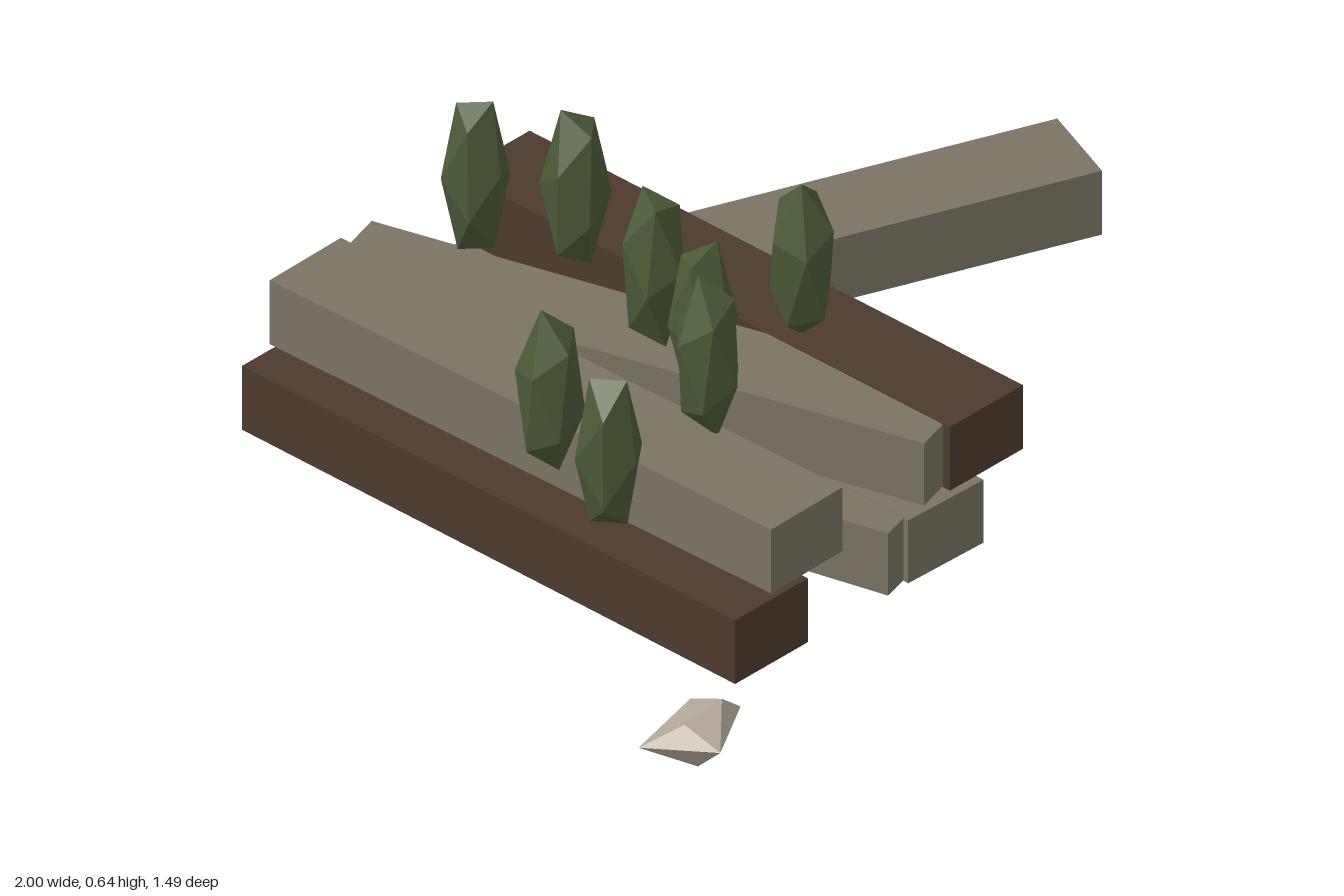
import * as THREE from 'three';
import { ConvexGeometry } from 'three/addons/geometries/ConvexGeometry.js';

const mat = (name, color) => {
  const m = new THREE.MeshStandardMaterial({ color });
  m.name = name;
  return m;
};

export function createModel() {
  const group = new THREE.Group();
  const greyWood = mat('weathered wood', 0x7b7364);
  const darkWood = mat('dark wood', 0x4e3a2d);
  const leafGreen = mat('leaf green', 0x4b5a37);
  const stone = mat('pale stone', 0xb3a899);

  const add = (name, geometry, material) => {
    const mesh = new THREE.Mesh(geometry, material);
    mesh.name = name;
    group.add(mesh);
    return mesh;
  };

  // Planks: name, material, x, z, yaw, layer (0 bottom, 1 top), inset keeping crossing faces apart
  const planks = [
    ['lowerDarkPlank', darkWood, -0.543, -0.115, 0.004, 0, 0],
    ['lowerDiagonalPlank', greyWood, -0.29, -0.12, 0.25, 0, 0.002],
    ['lowerStraightPlank', greyWood, -0.058, -0.115, -0.028, 0, 0.001],
    ['fallenPlank', greyWood, 0.38, -0.367, 1.199, 0, 0],
    ['upperGreyPlank', greyWood, -0.46, -0.115, 0.022, 1, 0],
    ['upperDiagonalPlank', greyWood, -0.215, -0.115, 0.28, 1, 0.002],
    ['upperDarkPlank', darkWood, 0.03, -0.115, 0.004, 1, 0],
  ];
  for (const [name, material, x, z, yaw, layer, inset] of planks) {
    const plank = add(name, new THREE.BoxGeometry(0.195, 0.14 - 2 * inset, 1.25), material);
    plank.position.set(x, 0.07 + layer * 0.155, z);
    plank.rotation.y = yaw;
  }

  // Foliage tufts: turned icosahedra stretched upright
  const tufts = [
    [-0.24, -0.53], [-0.14, -0.37], [-0.235, -0.08], [-0.03, 0.1],
    [-0.305, 0.11], [-0.385, 0.2], [-0.67, 0.07], [-0.745, 0.29],
  ];
  tufts.forEach(([x, z], i) => {
    const g = new THREE.IcosahedronGeometry(1, 0);
    g.rotateX(i * 1.3 + 0.4).rotateY(i * 2.1).rotateZ(i * 0.7 + 0.2);
    g.scale(0.067, 0.184, 0.067);
    g.computeVertexNormals();
    add('foliageTuft' + (i + 1), g, leafGreen).position.set(x, 0.463, z);
  });

  // Loose stone
  const corners = [
    [-1, 0.075, 0.61], [-0.78, 0.085, 0.66], [-0.83, 0.09, 0.58], [-0.92, 0.085, 0.742],
    [-0.93, 0.115, 0.66], [-0.83, 0.125, 0.66], [-0.92, 0.03, 0.685], [-0.85, 0.04, 0.63],
  ].map((p) => new THREE.Vector3(...p));
  add('looseStone', new ConvexGeometry(corners), stone);

  return group;
}
